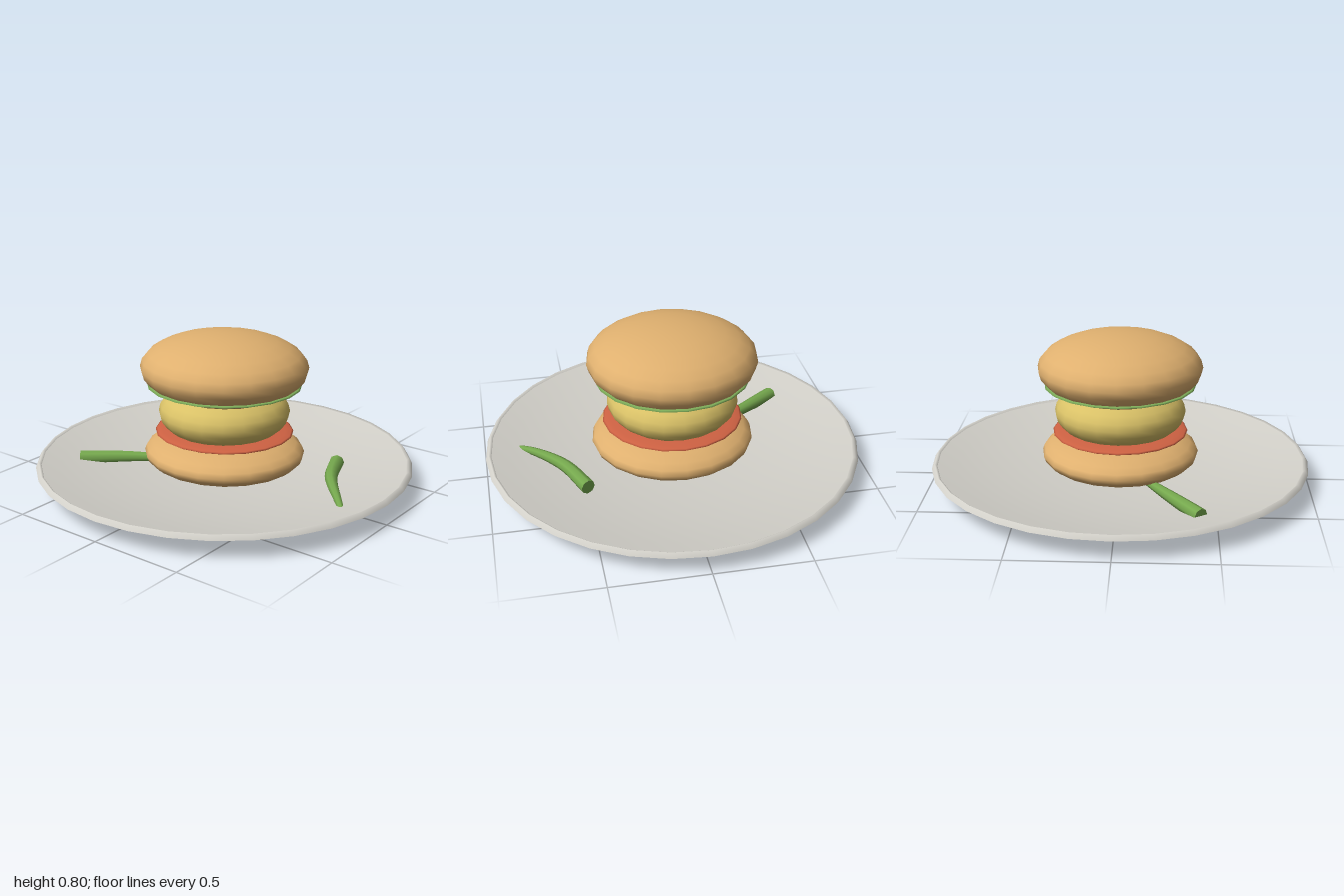
import * as THREE from 'three';

const V3 = (x, y, z) => new THREE.Vector3(x, y, z);

function material(name, color) {
  const m = new THREE.MeshStandardMaterial({ color });
  m.name = name;
  return m;
}

function mesh(name, geometry, mat) {
  const m = new THREE.Mesh(geometry, mat);
  m.name = name;
  return m;
}

// Flattened ball used for every layer of the stack
function layer(name, mat, y, rx, ry, rz) {
  const m = mesh(name, new THREE.SphereGeometry(1, 20, 14), mat);
  m.scale.set(rx, ry, rz);
  m.position.y = y;
  return m;
}

function lathe(name, points, mat) {
  return mesh(name, new THREE.LatheGeometry(points.map(([r, y]) => new THREE.Vector2(r, y)), 32), mat);
}

// Tapered, curved pod with closed ends
function pod(name, points, thick, thin, mat) {
  const group = new THREE.Group();
  group.name = name;
  const curve = new THREE.CatmullRomCurve3(points);
  const segments = 12, sides = 8;
  const body = new THREE.TubeGeometry(curve, segments, thick, sides);
  const pos = body.attributes.position;
  const p = V3(0, 0, 0);
  for (let i = 0; i <= segments; i++) {
    const t = i / segments;
    const centre = curve.getPointAt(t);
    const k = 1 - (1 - thin / thick) * Math.pow(t, 1.5);
    for (let j = 0; j <= sides; j++) {
      const n = i * (sides + 1) + j;
      p.fromBufferAttribute(pos, n).sub(centre).multiplyScalar(k).add(centre);
      pos.setXYZ(n, p.x, p.y, p.z);
    }
  }
  group.add(mesh(name + 'Body', body, mat));
  for (const [t, r, dir] of [[0, thick, -1], [1, thin, 1]]) {
    const cap = mesh(name + 'End', new THREE.CircleGeometry(r, sides), mat);
    cap.position.copy(curve.getPointAt(t));
    cap.quaternion.setFromUnitVectors(V3(0, 0, 1), curve.getTangentAt(t).multiplyScalar(dir));
    group.add(cap);
  }
  return group;
}

export function createModel() {
  const china = material('plate grey', 0xd2d0c9);
  const bread = material('bun tan', 0xdfb06f);
  const yellow = material('filling yellow', 0xd9c167);
  const red = material('tomato red', 0xcf6243);
  const lettuce = material('lettuce green', 0x7fae5a);
  const green = material('bean green', 0x76a94e);

  const model = new THREE.Group();
  model.name = 'burgerOnPlate';

  // Plate: underside, lip and shallow dished top
  const plate = new THREE.Group();
  plate.name = 'plate';
  const dish = [];
  for (let i = 10; i >= 0; i--) {
    const t = i / 10;
    dish.push([0.97 * t, 0.02 + 0.1 * Math.pow(t, 2.2)]);
  }
  plate.add(
    lathe('plateUnderside', [[0, 0], [0.7, 0], [0.72, 0.004], [1, 0.105]], china),
    lathe('plateRim', [[1, 0.105], [0.983, 0.13], [0.97, 0.12]], china),
    lathe('plateTop', dish, china)
  );
  model.add(plate);

  // Burger stack
  const burger = new THREE.Group();
  burger.name = 'burger';
  burger.add(
    layer('bottomBun', bread, 0.155, 0.432, 0.12, 0.415),
    layer('tomatoSlice', red, 0.272, 0.372, 0.025, 0.357),
    layer('filling', yellow, 0.38, 0.348, 0.165, 0.346),
    layer('lettuceLeaf', lettuce, 0.53, 0.413, 0.02, 0.4),
    layer('topBun', bread, 0.62, 0.448, 0.18, 0.433)
  );
  model.add(burger);

  // Green beans resting on the plate
  model.add(
    pod('rightBean', [V3(-0.665, 0.082, 0.415), V3(-0.45, 0.09, 0.262), V3(-0.18, 0.09, 0.09)], 0.038, 0.012, green),
    pod('leftBean', [V3(0.5, 0.1, -0.335), V3(0.6, 0.105, -0.12), V3(0.76, 0.092, 0.07), V3(0.87, 0.057, 0.18)], 0.039, 0.01, green)
  );
  return model;
}
